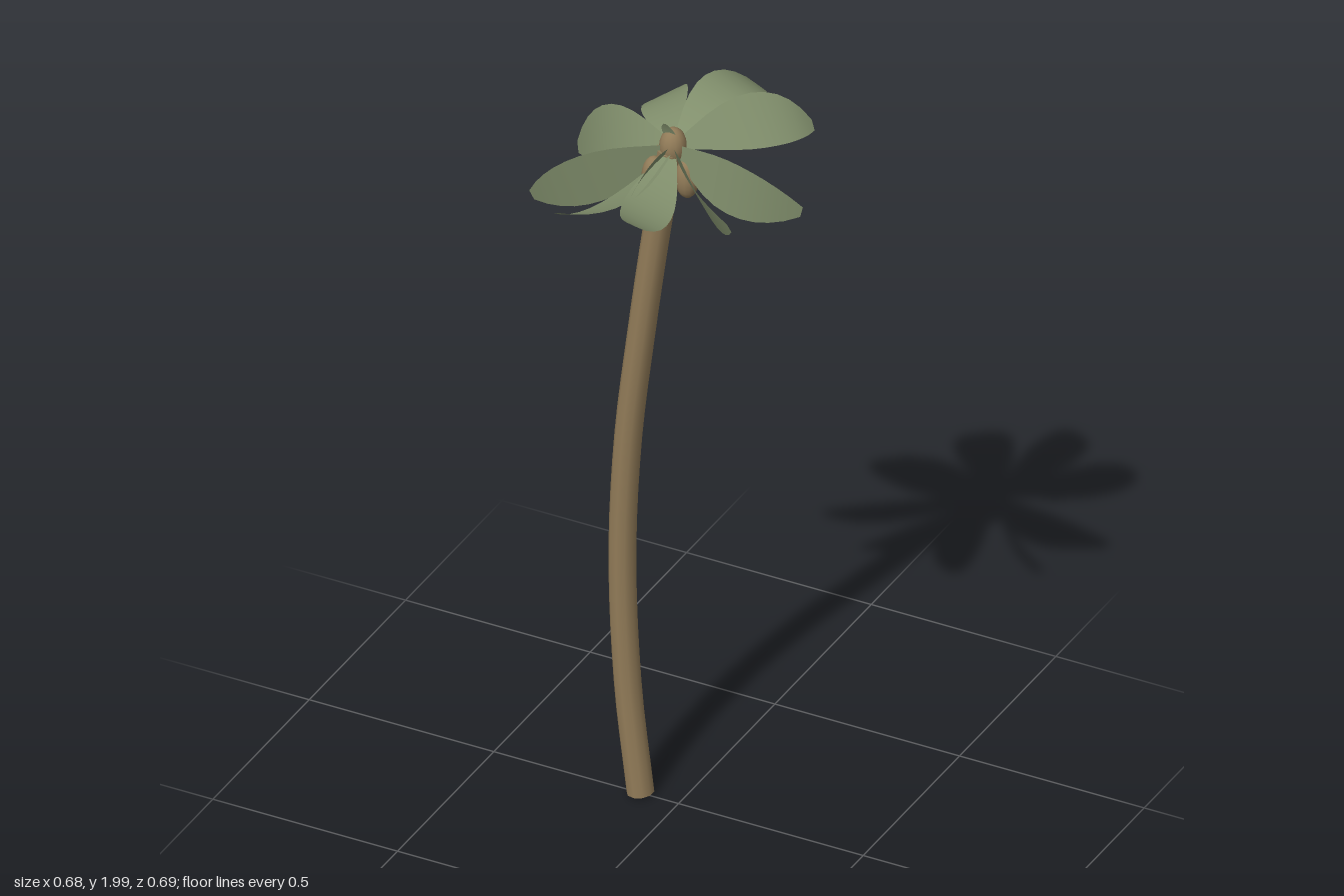
import * as THREE from 'three';

const V = (a) => new THREE.Vector3(...a);

// Leaf blade: cross-sections swept along an arched midrib; w is the half width vector
function leafGeometry(base, mid, tip, w) {
  const b = V(base), m = V(mid), t = V(tip), half = V(w);
  const control = m.clone().multiplyScalar(2).addScaledVector(b, -0.5).addScaledVector(t, -0.5);
  const midrib = new THREE.QuadraticBezierCurve3(b, control, t);
  const profile = [0.1, 0.38, 0.64, 0.84, 0.96, 1, 0.97, 0.88, 0.72, 0.5, 0.2];
  const positions = [], index = [];
  profile.forEach((k, i) => {
    const p = midrib.getPoint(i / (profile.length - 1));
    for (const s of [-1, 0, 1]) {
      const q = p.clone().addScaledVector(half, s * k);
      positions.push(q.x, q.y, q.z);
    }
    if (i === 0) return;
    for (const c of [0, 1]) {
      const a = (i - 1) * 3 + c, d = i * 3 + c;
      index.push(a, a + 1, d, a + 1, d + 1, d);
    }
  });
  const g = new THREE.BufferGeometry();
  g.setAttribute('position', new THREE.Float32BufferAttribute(positions, 3));
  g.setIndex(index);
  g.computeVertexNormals();
  return g;
}

export function createModel() {
  const model = new THREE.Group();
  model.name = 'palmTree';
  const bark = new THREE.MeshStandardMaterial({ name: 'bark', color: 0x917b58 });
  const green = new THREE.MeshStandardMaterial({ name: 'leafGreen', color: 0x82906d, side: THREE.DoubleSide });
  const add = (name, geometry, material, parent = model) => {
    const mesh = new THREE.Mesh(geometry, material);
    mesh.name = name;
    parent.add(mesh);
    return mesh;
  };

  // Curved trunk with closed ends
  const path = new THREE.CatmullRomCurve3([
    [-0.103, 0.005, 0], [-0.137, 0.3, 0], [-0.152, 0.66, 0], [-0.137, 1.0, 0],
    [-0.1, 1.32, 0], [-0.062, 1.6, 0], [-0.022, 1.86, 0],
  ].map(V));
  add('trunk', new THREE.TubeGeometry(path, 24, 0.034, 10, false), bark);
  for (const [name, t, sign] of [['trunkBase', 0, -1], ['trunkTop', 1, 1]]) {
    const cap = add(name, new THREE.CircleGeometry(0.034, 10), bark);
    cap.position.copy(path.getPoint(t));
    cap.quaternion.setFromUnitVectors(V([0, 0, 1]), path.getTangent(t).multiplyScalar(sign));
  }

  // Crown bud and hanging nuts
  const nuts = new THREE.Group();
  nuts.name = 'nuts';
  model.add(nuts);
  const nut = (name, x, y, z, r, h) => {
    const mesh = add(name, new THREE.SphereGeometry(r, 14, 10), bark, nuts);
    mesh.position.set(x, y, z);
    mesh.scale.y = h / r;
  };
  nut('crownBud', -0.016, 1.87, -0.003, 0.034, 0.05);
  nut('nut', -0.05, 1.795, 0.032, 0.03, 0.055);
  nut('nut', 0.026, 1.795, 0.004, 0.03, 0.055);
  nut('nut', -0.02, 1.81, -0.03, 0.028, 0.05);

  // Nine fronds fanned at even steps, each rolled a little further: [mid, tip, half width]
  const fronds = new THREE.Group();
  fronds.name = 'fronds';
  model.add(fronds);
  const base = [-0.012, 1.87, 0];
  [
    [[0.17, 1.825, 0.043], [0.333, 1.785, 0], [0.018, 0.073, 0]],
    [[0.16, 1.935, -0.108], [0.254, 1.89, -0.212], [-0.03, 0.06, -0.017]],
    [[0.028, 1.935, -0.19], [0.05, 1.86, -0.342], [-0.06, 0.02, -0.01]],
    [[-0.132, 1.87, -0.18], [-0.18, 1.775, -0.3], [0.052, 0.035, -0.022]],
    [[-0.185, 1.845, -0.022], [-0.335, 1.705, -0.12], [-0.02, 0.065, -0.022]],
    [[-0.185, 1.785, 0.1], [-0.335, 1.705, 0.12], [-0.022, 0.068, 0.02]],
    [[-0.085, 1.785, 0.17], [-0.18, 1.8, 0.297], [0.05, 0.03, 0.028]],
    [[0.014, 1.805, 0.185], [0.05, 1.86, 0.342], [-0.057, 0.02, 0.01]],
    [[0.135, 1.835, 0.142], [0.252, 1.84, 0.22], [-0.018, 0.062, 0.024]],
  ].forEach(([mid, tip, w]) => add('frond', leafGeometry(base, mid, tip, w), green, fronds));

  // Young shoots at the centre
  add('shoot', leafGeometry(base, [-0.033, 1.85, 0.1], [-0.037, 1.81, 0.19], [0.012, 0.025, 0]), green, fronds);
  add('shoot', leafGeometry(base, [-0.02, 1.91, 0.01], [-0.024, 1.945, 0.025], [0.018, 0, 0]), green, fronds);
  return model;
}
